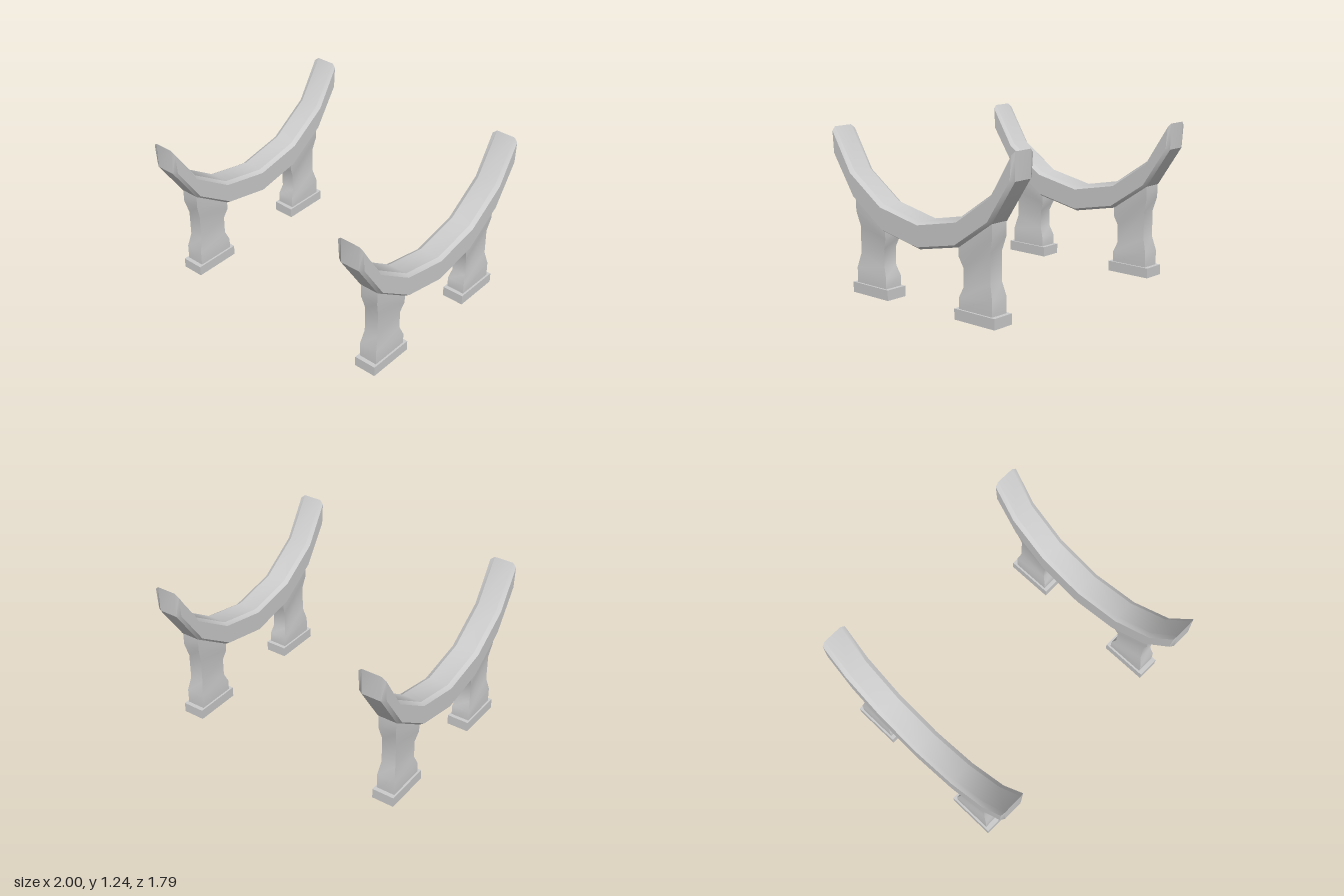
import * as THREE from 'three';
import { toCreasedNormals } from 'three/addons/utils/BufferGeometryUtils.js';

const CREASE = 0.5;
const material = new THREE.MeshStandardMaterial({ color: 0xcccccc });

function part(name, geometry) {
  const mesh = new THREE.Mesh(geometry, material);
  mesh.name = name;
  return mesh;
}

// Curved rail: bowed side profile with bevelled flanks, extruded across x
function railGeometry() {
  const top = [[0, 0.645], [0.375, 0.72], [0.687, 0.93], [0.895, 1.242]];
  const drop = 0.2;
  const mirrored = [...top.slice(1).reverse().map(([z, y]) => [-z, y]), ...top];
  const outline = [
    ...mirrored.map(([z, y]) => new THREE.Vector2(z, y - drop)),
    ...mirrored.reverse().map(([z, y]) => new THREE.Vector2(z, y)),
  ];
  const depth = 0.155;
  const geometry = new THREE.ExtrudeGeometry(new THREE.Shape(outline), {
    depth, bevelEnabled: true, bevelSegments: 1,
    bevelThickness: 0.032, bevelSize: 0.02, bevelOffset: -0.02,
  });
  geometry.translate(0, 0, -depth / 2).rotateY(-Math.PI / 2);
  return toCreasedNormals(geometry, CREASE);
}

// Waisted post whose rings tilt progressively to meet the slope of the rail
function postGeometry() {
  const rings = [ // fraction of height, half width x, inset along z
    [0, 0.074, 0], [0.18, 0.074, 0], [0.35, 0.058, 0.03],
    [0.67, 0.058, 0.03], [0.84, 0.072, 0], [1, 0.074, 0],
  ];
  const geometry = new THREE.BoxGeometry(1, 1, 1, 1, rings.length - 1, 1);
  const p = geometry.attributes.position;
  for (let i = 0; i < p.count; i++) {
    const [t, halfX, inset] = rings[Math.round((p.getY(i) + 0.5) * (rings.length - 1))];
    const outer = p.getZ(i) > 0;
    const height = outer ? 0.65 : 0.445;
    p.setXYZ(i, Math.sign(p.getX(i)) * halfX, 0.08 + t * height,
      outer ? 0.685 - inset : 0.372 + inset);
  }
  return toCreasedNormals(geometry, CREASE);
}

export function createModel() {
  const model = new THREE.Group();
  model.name = 'cradleStand';
  const rail = railGeometry();
  const post = postGeometry();
  const foot = new THREE.BoxGeometry(0.178, 0.08, 0.378).translate(0, 0.04, 0.53);

  for (const side of [1, -1]) {
    const support = new THREE.Group();
    support.name = side > 0 ? 'leftSupport' : 'rightSupport';
    support.position.x = side * 0.8905;
    support.add(part('curvedRail', rail));

    // Front leg, and the same leg turned round for the back
    for (const [name, turn] of [['frontLeg', 0], ['backLeg', Math.PI]]) {
      const leg = new THREE.Group();
      leg.name = name;
      leg.rotation.y = turn;
      leg.add(part('post', post), part('foot', foot));
      support.add(leg);
    }
    model.add(support);
  }
  return model;
}
